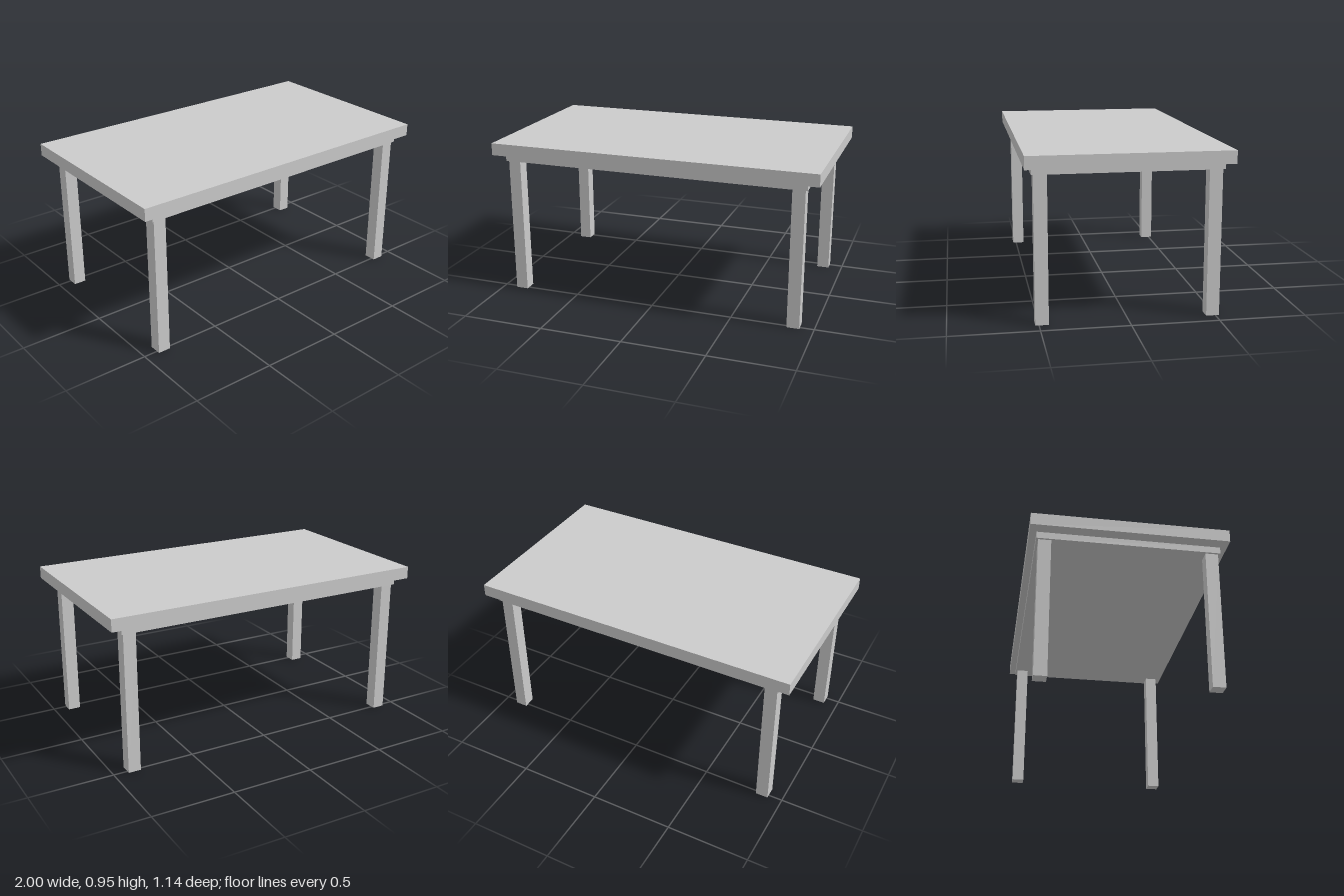
import * as THREE from 'three';

export function createModel() {
  const group = new THREE.Group();
  const material = new THREE.MeshStandardMaterial({ color: 0xcccccc, flatShading: true });

  // Box spanning the heights y0 to y1
  function addBox(name, width, depth, y0, y1, x = 0, z = 0) {
    const mesh = new THREE.Mesh(new THREE.BoxGeometry(width, y1 - y0, depth), material);
    mesh.name = name;
    mesh.position.set(x, (y0 + y1) / 2, z);
    group.add(mesh);
  }

  // Top board and the smaller slab beneath it
  addBox('tableTop', 2, 1.143, 0.881, 0.955);
  addBox('underSlab', 1.857, 1.063, 0.841, 0.881);

  // Four square legs at the corners
  for (const [side, sx] of [['Left', 1], ['Right', -1]]) {
    for (const [end, sz] of [['front', 1], ['back', -1]]) {
      addBox(`${end}${side}Leg`, 0.075, 0.075, 0, 0.841, sx * 0.878, sz * 0.483);
    }
  }

  return group;
}
